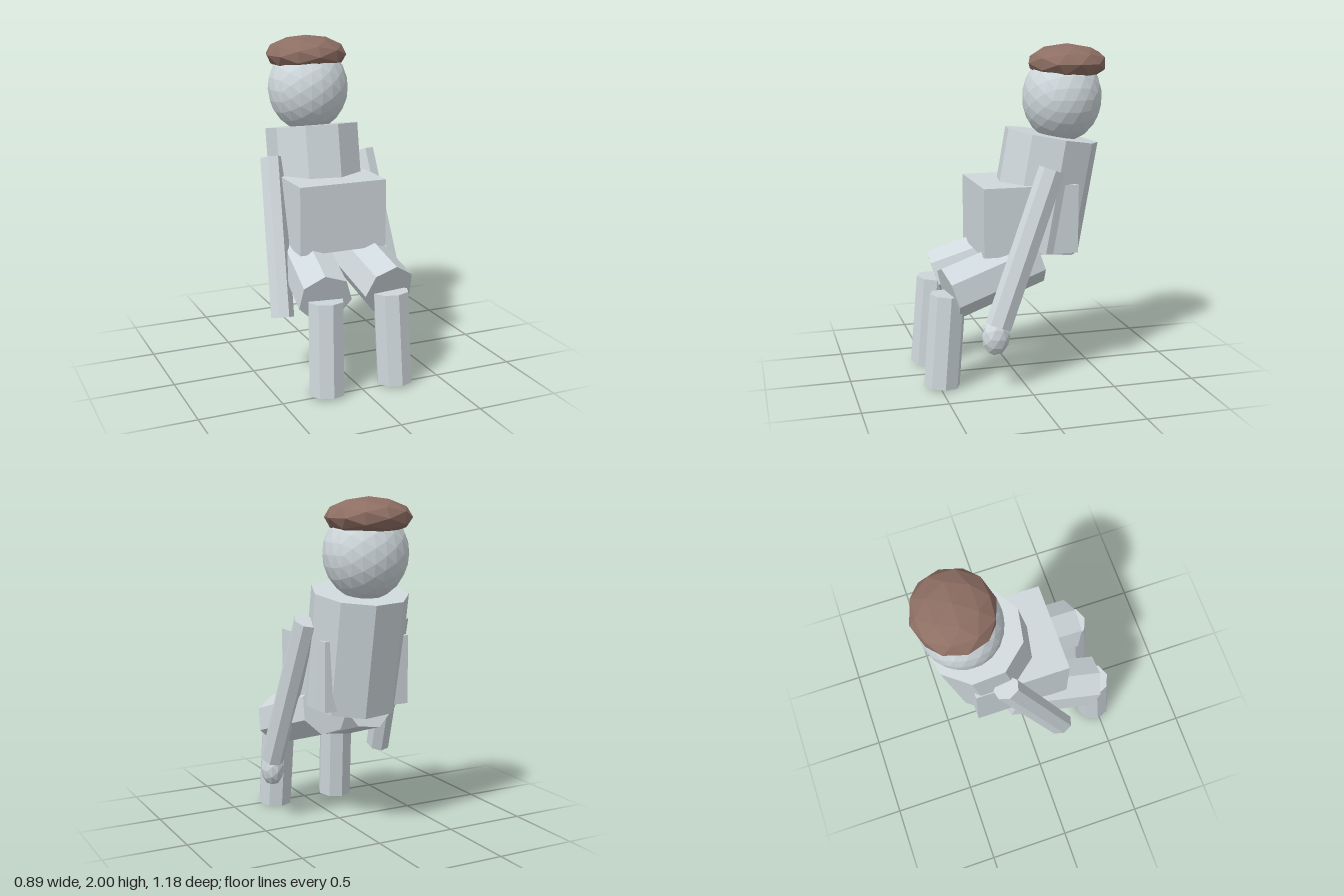
import * as THREE from 'three';

const flat = (name, color) => {
  const m = new THREE.MeshStandardMaterial({ color });
  m.name = name;
  m.flatShading = true;
  return m;
};

export function createModel() {
  const group = new THREE.Group();
  const grey = flat('paleGrey', 0xcfd8dc);
  const brown = flat('brown', 0x8d6e63);

  const add = (name, geometry, material, x = 0, y = 0, z = 0) => {
    const mesh = new THREE.Mesh(geometry, material);
    mesh.name = name;
    mesh.position.set(x, y, z);
    group.add(mesh);
    return mesh;
  };

  // Prism running from one point to another
  const limb = (name, from, to, radius, sides, start, squash = 1) => {
    const a = new THREE.Vector3(...from), b = new THREE.Vector3(...to);
    const dir = b.clone().sub(a);
    const geometry = new THREE.CylinderGeometry(radius, radius, dir.length(), sides, 1, false, start);
    geometry.scale(squash, 1, 1);
    const mesh = add(name, geometry, grey, ...a.add(b).multiplyScalar(0.5).toArray());
    mesh.quaternion.setFromUnitVectors(new THREE.Vector3(0, 1, 0), dir.normalize());
    return mesh;
  };

  // Faceted ellipsoid
  const blob = (name, material, detail, center, radii) => {
    const geometry = new THREE.IcosahedronGeometry(1, detail);
    geometry.scale(...radii);
    return add(name, geometry, material, ...center);
  };

  // Nine-sided torso leaning back, with the lap box in front of it
  const torso = add('torso',
    new THREE.CylinderGeometry(0.29, 0.29, 0.68, 9, 1, false, Math.PI / 18),
    grey, 0, 1.12, -0.195);
  torso.rotation.x = -Math.PI / 18;
  add('chestBox', new THREE.BoxGeometry(0.55, 0.41, 0.575), grey, -0.003, 0.985, -0.053);

  // Head and cap
  blob('head', grey, 3, [0, 1.68, -0.32], [0.25, 0.27, 0.24]);
  blob('cap', brown, 1, [0, 1.885, -0.35], [0.255, 0.115, 0.24]);

  // Limbs, mirrored left and right
  for (const [side, s] of [['left', 1], ['right', -1]]) {
    limb(side + 'Arm', [s * 0.375, 0.395, 0.175], [s * 0.305, 1.29, -0.165],
      0.081, 7, s * Math.PI / 2, 0.86);
    limb(side + 'Thigh', [s * 0.15, 0.745, -0.10], [s * 0.205, 0.57, 0.432],
      0.162, 7, Math.PI);
    limb(side + 'Shin', [s * 0.22, 0.012, 0.485], [s * 0.208, 0.565, 0.44],
      0.108, 8, 0);
  }

  // Single hand on the left arm
  const hand = blob('leftHand', grey, 1, [0.367, 0.33, 0.19], [0.07, 0.11, 0.084]);
  hand.rotation.x = -0.1;

  return group;
}
